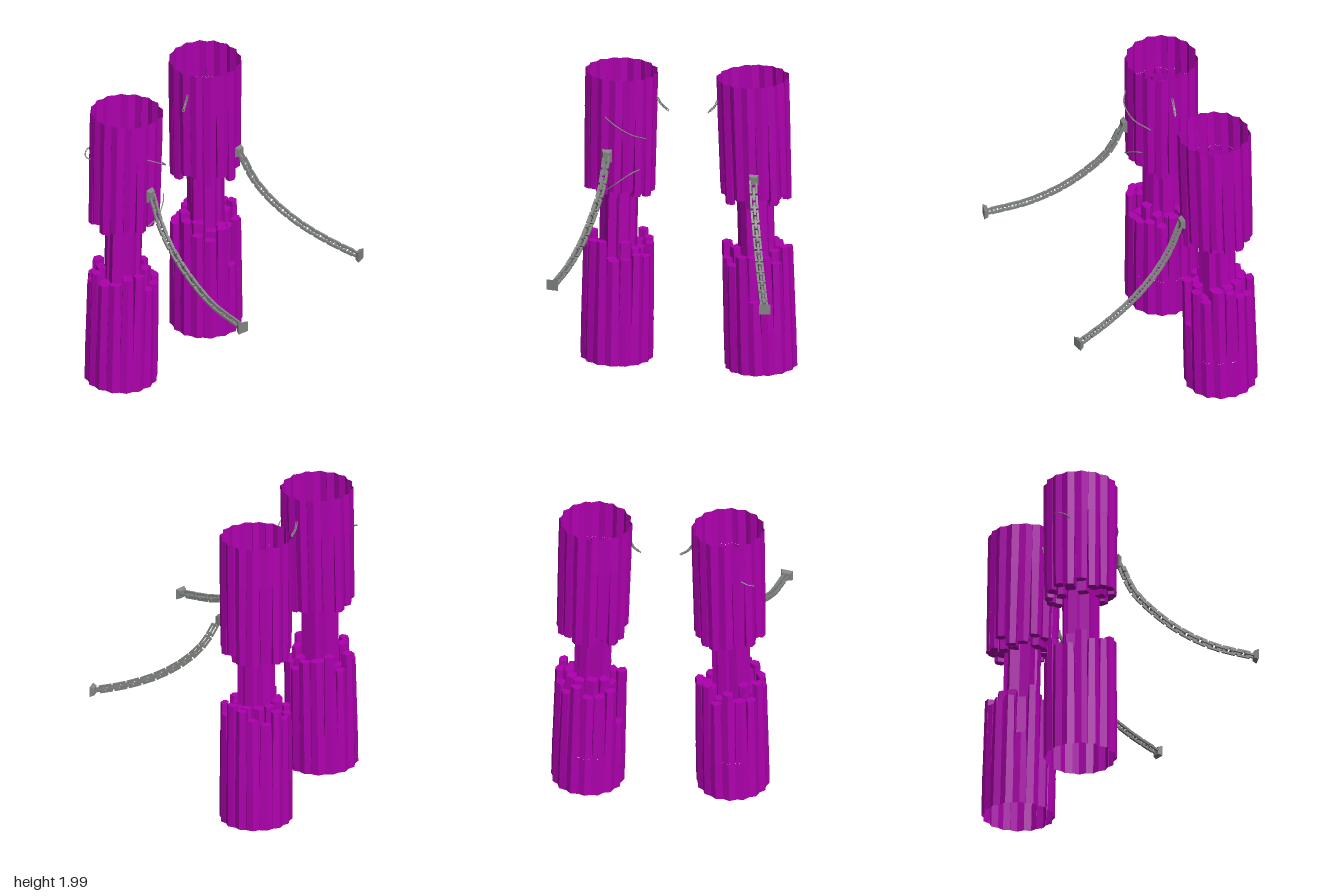
import * as THREE from 'three';

const purple = new THREE.MeshStandardMaterial({ color: 0xae00ae, flatShading: true, side: THREE.DoubleSide });
const metal = new THREE.MeshStandardMaterial({ color: 0x828682, flatShading: true });

function seeded(seed) {
  let s = seed;
  return () => (s = (s * 16807) % 2147483647) / 2147483647;
}

// Cross-section of the pillar: jittered rings of sites, cut into cells
function makeCells(rnd) {
  const sites = [];
  const ring = (n, r, kind, jitter, phase = 0) => {
    for (let i = 0; i < n; i++) {
      const a = ((i + phase + (rnd() - 0.5) * jitter) / n) * Math.PI * 2;
      const q = r + (rnd() - 0.5) * jitter * 0.04;
      sites.push({ x: Math.cos(a) * q, z: Math.sin(a) * q, kind });
    }
  };
  ring(1, 0.01, 'core', 0.3);
  ring(6, 0.08, 'core', 0.12);
  ring(11, 0.146, 'middle', 0.3);
  ring(16, 0.205, 'outer', 0.12);
  ring(32, 0.262, 'outside', 0, 0.5);
  return sites.filter(s => s.kind !== 'outside').map(s => {
    let poly = [[-1, -1], [1, -1], [1, 1], [-1, 1]].map(([x, z]) => ({ x, z, next: s }));
    for (const o of sites) {
      if (o === s) continue;
      const nx = o.x - s.x, nz = o.z - s.z;
      const c = (o.x ** 2 + o.z ** 2 - s.x ** 2 - s.z ** 2) / 2;
      const dist = p => p.x * nx + p.z * nz - c;
      const cut = [];
      poly.forEach((p, i) => {
        const q = poly[(i + 1) % poly.length], dp = dist(p), dq = dist(q);
        if (dp <= 0) cut.push(p);
        if (dp * dq < 0) {
          const t = dp / (dp - dq);
          cut.push({ x: p.x + (q.x - p.x) * t, z: p.z + (q.z - p.z) * t, next: dp < 0 ? o : p.next });
        }
      });
      poly = cut;
    }
    return { site: s, poly };
  });
}

// One cell as a column from y0 to y1, scaled about its site at each end
function addColumn(out, { site, poly }, y0, y1, k0, k1, caps, keepEdge = () => true) {
  const at = (p, y, k) => [site.x + (p.x - site.x) * k, y, site.z + (p.z - site.z) * k];
  const lo = poly.map(p => at(p, y0, k0)), hi = poly.map(p => at(p, y1, k1));
  const tri = (...pts) => pts.forEach(p => out.push(...p));
  poly.forEach((p, i) => {
    const j = (i + 1) % poly.length;
    if (keepEdge(p.next)) {
      tri(lo[i], hi[i], hi[j]);
      tri(lo[i], hi[j], lo[j]);
    }
    if (i > 0 && j > 0) {
      if (caps.includes('top')) tri(hi[0], hi[j], hi[i]);
      if (caps.includes('bottom')) tri(lo[0], lo[i], lo[j]);
    }
  });
}

function mesh(name, positions) {
  const g = new THREE.BufferGeometry();
  g.setAttribute('position', new THREE.Float32BufferAttribute(positions, 3));
  g.computeVertexNormals();
  const m = new THREE.Mesh(g, purple);
  m.name = name;
  return m;
}

function makePillar(name, seed, height) {
  const rnd = seeded(seed), cells = makeCells(rnd);
  const low = 0.28, high = height - 0.27, tip = 0.83, seam = 0.98;
  const parts = { lowerShell: [], lowerColumns: [], core: [], upperColumns: [], upperShell: [] };
  const open = n => n.kind === 'outside';
  for (const cell of cells) {
    const { kind } = cell.site;
    if (kind === 'core') {
      addColumn(parts.core, cell, low, high, 1, 1, 'top bottom', n => n.kind !== 'core');
      continue;
    }
    // hollow outer skin at the far ends
    if (kind === 'outer') {
      addColumn(parts.lowerShell, cell, 0, low, 1, 1, '', open);
      addColumn(parts.upperShell, cell, high, height, 1, 1, '', open);
    }
    // broken column ends facing each other, a few snapped short
    const snap = kind === 'outer' ? 0.06 : 0;
    const top = rnd() < snap ? 0.5 : 0.71 + rnd() * 0.14;
    const bottom = rnd() < snap ? 1.45 : 1.13 + rnd() * 0.08;
    addColumn(parts.lowerColumns, cell, low, top, seam, tip, 'top');
    addColumn(parts.upperColumns, cell, bottom, high, tip, seam, 'bottom');
  }
  const g = new THREE.Group();
  g.name = name;
  for (const [part, pos] of Object.entries(parts)) g.add(mesh(part, pos));
  return g;
}

// Rectangular chain link, long axis along z
function linkGeometry() {
  const rect = (T, w, h) => new T([[-w, -h], [w, -h], [w, h], [-w, h]].map(p => new THREE.Vector2(...p)));
  const s = rect(THREE.Shape, 0.026, 0.043);
  s.holes.push(rect(THREE.Path, 0.013, 0.031));
  return new THREE.ExtrudeGeometry(s, { depth: 0.014, bevelEnabled: false })
    .translate(0, 0, -0.007).rotateX(Math.PI / 2);
}
const link = linkGeometry();

function curveOf(points) {
  return new THREE.CatmullRomCurve3(points.map(p => new THREE.Vector3(...p)));
}

function makeChain(name, points, size = 1) {
  const g = new THREE.Group();
  g.name = name;
  const curve = curveOf(points);
  const n = Math.round(curve.getLength() / (0.05 * size));
  for (let i = 0; i < n; i++) {
    const u = (i + 0.5) / n, m = new THREE.Mesh(link, metal);
    m.name = 'link';
    m.position.copy(curve.getPointAt(u));
    m.lookAt(m.position.clone().add(curve.getTangentAt(u)));
    if (i % 2) m.rotateZ(Math.PI / 2);
    m.scale.setScalar(size);
    g.add(m);
  }
  return g;
}

// Bevelled mounting plate, wide side facing the given direction
function makePlate(name, pos, facing, w, h) {
  const geo = new THREE.CylinderGeometry(Math.SQRT1_2, 0.5, 1, 4).rotateY(Math.PI / 4).rotateX(Math.PI / 2);
  const m = new THREE.Mesh(geo, metal);
  m.name = name;
  m.scale.set(w, h, 0.028);
  m.position.set(...pos);
  m.lookAt(pos[0] + facing[0], pos[1], pos[2] + facing[1]);
  return m;
}

function makeWire(name, points) {
  const m = new THREE.Mesh(new THREE.TubeGeometry(curveOf(points), 20, 0.004, 5), metal);
  m.name = name;
  return m;
}

export function createModel() {
  const model = new THREE.Group();

  // Two leaning pillars
  const right = makePillar('rightPillar', 71, 1.965);
  right.position.set(-0.462, 0.03, -0.45);
  right.rotation.set(0.009, 0, -0.018);
  const left = makePillar('leftPillar', 4099, 1.98);
  left.position.set(0.485, 0.012, -0.465);
  left.rotation.set(0.014, 0, 0.025);
  model.add(right, left);

  // Hanging chains with a plate at each end
  model.add(
    makeChain('rightChain', [[-0.485, 1.47, -0.18], [-0.505, 1.28, -0.09], [-0.54, 1.14, 0.04],
      [-0.58, 1.02, 0.21], [-0.63, 0.93, 0.42], [-0.685, 0.885, 0.69]]),
    makePlate('rightWallPlate', [-0.485, 1.475, -0.19], [0, -1], 0.065, 0.09),
    makePlate('rightEndPlate', [-0.69, 0.885, 0.695], [-0.23, 1], 0.08, 0.07),
    makeChain('leftChain', [[0.48, 1.35, -0.18], [0.505, 1.18, -0.09], [0.54, 1.045, 0.03],
      [0.585, 0.925, 0.2], [0.635, 0.835, 0.4], [0.685, 0.77, 0.61]]),
    makePlate('leftWallPlate', [0.48, 1.365, -0.19], [0, -1], 0.065, 0.07),
    makePlate('leftEndPlate', [0.69, 0.77, 0.62], [0.2, 1], 0.075, 0.07)
  );

  // Short broken chains on the inner sides
  model.add(
    makeChain('rightChainStub', [[-0.19, 1.83, -0.41], [-0.165, 1.785, -0.41], [-0.115, 1.745, -0.4]], 0.3),
    makeChain('leftChainStub', [[0.21, 1.83, -0.41], [0.19, 1.785, -0.41], [0.15, 1.745, -0.4]], 0.3)
  );

  // Loose wires on the right pillar
  model.add(
    makeWire('upperWire', [[-0.5, 1.74, -0.21], [-0.43, 1.7, -0.17], [-0.33, 1.635, -0.19], [-0.24, 1.58, -0.28]]),
    makeWire('lowerWire', [[-0.49, 1.24, -0.21], [-0.43, 1.29, -0.18], [-0.34, 1.355, -0.2], [-0.28, 1.38, -0.24]]),
    makeWire('backWire', [[-0.6, 1.66, -0.58], [-0.615, 1.68, -0.62], [-0.58, 1.7, -0.645], [-0.53, 1.72, -0.64]])
  );
  return model;
}
